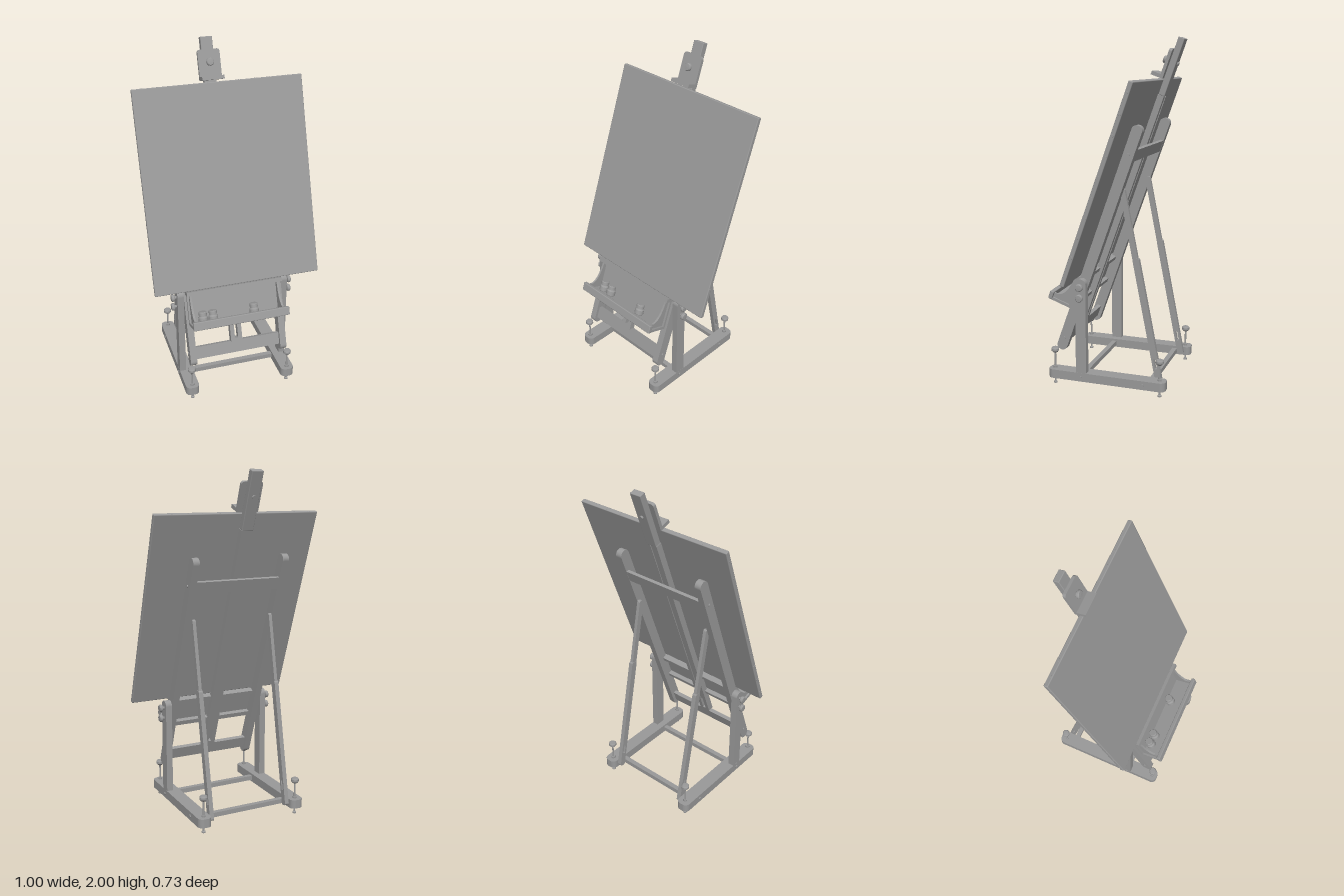
import * as THREE from 'three';
import { RoundedBoxGeometry } from 'three/addons/geometries/RoundedBoxGeometry.js';

const mat = new THREE.MeshStandardMaterial({ color: 0x999999 });
const CX = -0.03;     // centre line of the stand
const TILT = 0.343;   // lean of the masts

function add(parent, name, geo, x = 0, y = 0, z = 0) {
  const m = new THREE.Mesh(geo, mat);
  m.name = name;
  m.position.set(x, y, z);
  parent.add(m);
  return m;
}

// Box given by its limits on each axis
function box(parent, name, [x0, x1], [y0, y1], [z0, z1]) {
  return add(parent, name, new THREE.BoxGeometry(x1 - x0, y1 - y0, z1 - z0),
    (x0 + x1) / 2, (y0 + y1) / 2, (z0 + z1) / 2);
}

// Rectangle outline with rounded corners, centred; rb = radius of the lower corners
function roundRect(w, h, r, rb = r) {
  const s = new THREE.Shape(), a = w / 2, b = h / 2;
  s.moveTo(a, -b + rb);
  s.lineTo(a, b - r);
  s.absarc(a - r, b - r, r, 0, Math.PI / 2);
  s.absarc(-a + r, b - r, r, Math.PI / 2, Math.PI);
  s.lineTo(-a, -b + rb);
  if (rb > 0) {
    s.absarc(-a + rb, -b + rb, rb, Math.PI, Math.PI * 1.5);
    s.absarc(a - rb, -b + rb, rb, Math.PI * 1.5, Math.PI * 2);
  } else s.lineTo(a, -b);
  return s;
}

function extrude(shape, depth) {
  const g = new THREE.ExtrudeGeometry(shape, { depth, bevelEnabled: false, curveSegments: 8 });
  return g.translate(0, 0, -depth / 2);
}

// Outline drawn in (z, y), thickened along x
const sideways = (shape, depth) => extrude(shape, depth).rotateY(-Math.PI / 2);

// Turned part from [radius, height] pairs
const lathe = (pts) => new THREE.LatheGeometry(
  pts.flatMap(([r, y]) => [new THREE.Vector2(r, y), new THREE.Vector2(r, y)]), 24);

const knobGeo = () => lathe([[0, 0], [0.009, 0], [0.009, 0.012], [0.019, 0.014],
  [0.022, 0.018], [0.022, 0.028], [0.018, 0.033], [0, 0.034]]);

function buildSide(root, lean, s) {
  const X = (d) => CX + s * d;
  // foot rail
  add(root, 'footRail', extrude(roundRect(0.08, 0.707, 0.03), 0.052).rotateX(-Math.PI / 2),
    X(0.299), 0.069, 0.003);
  // upright post
  add(root, 'post', sideways(roundRect(0.063, 0.56, 0.03, 0), 0.038), X(0.319), 0.375, 0.149);
  for (const y of [0.55, 0.612]) {
    const k = add(root, 'postKnob', knobGeo(), X(0.336), y, 0.149);
    k.rotation.z = -s * Math.PI / 2;
  }
  // bolts through the rail
  for (const z of [0.152, -0.22]) {
    const b = add(root, 'railBolt', new THREE.CylinderGeometry(0.009, 0.009, 0.01, 16), X(0.339), 0.069, z);
    b.rotation.z = Math.PI / 2;
  }
  // levelling screws
  for (const z of [0.325, -0.312]) {
    add(root, 'levellingScrew', lathe([[0, 0], [0.011, 0], [0.011, 0.008], [0.005, 0.012], [0.005, 0.185],
      [0.014, 0.19], [0.023, 0.2], [0.023, 0.213], [0.018, 0.22], [0, 0.221]]), X(0.299), 0, z);
    add(root, 'screwCollar', new THREE.CylinderGeometry(0.012, 0.012, 0.012, 16), X(0.299), 0.1, z);
  }
  // leaning mast
  add(lean, 'mast', sideways(roundRect(0.062, 1.398, 0.03), 0.039), X(0.28), 0.924, -0.001);
  for (const y of [0.3, 1.455]) {
    const b = add(lean, 'mastBolt', new THREE.CylinderGeometry(0.008, 0.008, 0.01, 16), X(0.3), y, 0);
    b.rotation.z = Math.PI / 2;
  }
  // two-piece rear strut, slotted at the foot
  const strut = new THREE.Group();
  strut.name = 'rearStrut';
  strut.position.set(X(0.246), 0.06, -0.296);
  strut.rotation.x = 0.196;
  root.add(strut);
  const lower = roundRect(0.038, 0.74, 0.012);
  const slot = roundRect(0.012, 0.06, 0.006);
  lower.holes.push(new THREE.Path(slot.getPoints(6).map((p) => p.setY(p.y - 0.25))));
  add(strut, 'lowerStrut', sideways(lower, 0.026), 0, 0.365, 0);
  add(strut, 'upperStrut', sideways(roundRect(0.032, 0.47, 0.012), 0.02), 0, 0.9, 0.003);
}

function buildTray(lean) {
  const x0 = -0.315, x1 = 0.255;
  box(lean, 'boardLedge', [x0 - 0.005, x1 + 0.005], [0.662, 0.686], [0.031, 0.083]);
  box(lean, 'trayBack', [x0, x1], [0.479, 0.662], [0.031, 0.045]);
  box(lean, 'trayFloor', [x0, x1], [0.479, 0.495], [0.045, 0.165]);
  add(lean, 'trayLip', new RoundedBoxGeometry(0.58, 0.05, 0.024, 2, 0.005), CX, 0.504, 0.165);
  // rear battens between the masts, behind the ledge and the tray
  for (const y of [0.662, 0.505])
    box(lean, 'trayBatten', [CX - 0.261, CX + 0.261], [y, y + 0.024], [0.004, 0.031]);
  // curved end brackets
  const b = new THREE.Shape();
  b.moveTo(0.045, 0.495);
  b.lineTo(0.155, 0.495);
  b.lineTo(0.155, 0.522);
  b.lineTo(0.13, 0.522);
  b.quadraticCurveTo(0.078, 0.535, 0.066, 0.662);
  b.lineTo(0.045, 0.662);
  for (const s of [-1, 1]) add(lean, 'trayBracket', sideways(b, 0.012), CX + s * 0.267);
  // lidded paint jars
  for (const x of [-0.238, -0.177, 0.074])
    add(lean, 'paintJar', lathe([[0, 0], [0.026, 0], [0.028, 0.004], [0.028, 0.03], [0.021, 0.038],
      [0.021, 0.043], [0.024, 0.044], [0.024, 0.06], [0.021, 0.064], [0, 0.064]]), x, 0.495, 0.074);
}

function buildCentre(lean) {
  const c = -0.036;
  // slotted guide between the crossbars
  for (const s of [-1, 1])
    box(lean, 'guideRail', [c + s * 0.0225 - 0.0125, c + s * 0.0225 + 0.0125], [0.33, 1.78], [-0.013, 0.024]);
  box(lean, 'guideEnd', [c - 0.01, c + 0.01], [0.33, 0.351], [-0.013, 0.024]);
  box(lean, 'sliderTongue', [c - 0.01, c + 0.01], [0.445, 1.78], [-0.009, 0.018]);
  add(lean, 'sliderHead', new RoundedBoxGeometry(0.07, 0.336, 0.037, 2, 0.004), c, 1.948, 0.0035);
  // top clamp
  add(lean, 'clampPlate', extrude(roundRect(0.13, 0.172, 0.016, 0), 0.018), c, 1.958, 0.031);
  box(lean, 'clampJaw', [c - 0.065, c + 0.065], [1.872, 1.893], [0.022, 0.094]);
  const k = add(lean, 'clampKnob', knobGeo(), c, 1.972, 0.034);
  k.rotation.x = Math.PI / 2;
  const n = add(lean, 'clampNut', new THREE.CylinderGeometry(0.012, 0.012, 0.012, 6), c, 1.972, -0.018);
  n.rotation.x = Math.PI / 2;
}

function buildCanvas(lean) {
  const y0 = 0.686, y1 = 1.86, z = 0.051;
  add(lean, 'canvas', new RoundedBoxGeometry(1, y1 - y0, 0.026, 3, 0.005), 0, (y0 + y1) / 2, z);
  const tack = new THREE.CylinderGeometry(0.007, 0.009, 0.004, 12);
  // nearly flush tacks along the four edges
  for (let i = 0; i < 10; i++) {
    const x = -0.445 + i * 0.0937;
    add(lean, 'tack', tack, x, y1 - 0.001, z);
    add(lean, 'tack', tack, x, y0 + 0.001, z).rotation.x = Math.PI;
    for (const s of [-1, 1])
      add(lean, 'tack', tack, s * 0.499, y0 + 0.06 + i * 0.117, z).rotation.z = -s * Math.PI / 2;
  }
}

export function createModel() {
  const root = new THREE.Group();
  root.name = 'easel';
  // everything that leans back shares one tilted frame
  const lean = new THREE.Group();
  lean.name = 'leaningFrame';
  lean.position.z = 0.366;
  lean.rotation.x = -TILT;
  root.add(lean);

  for (const s of [-1, 1]) buildSide(root, lean, s);

  // crossbars
  const span = [CX - 0.261, CX + 0.261];
  box(root, 'frontBaseBar', span, [0.055, 0.082], [0.138, 0.167]);
  box(root, 'rearBaseBar', span, [0.055, 0.082], [-0.267, -0.238]);
  box(lean, 'lowerCrossbar', span, [0.26, 0.333], [-0.012, 0.012]);
  box(lean, 'upperCrossbar', span, [1.42, 1.49], [-0.031, -0.013]);

  buildTray(lean);
  buildCentre(lean);
  buildCanvas(lean);
  return root;
}
